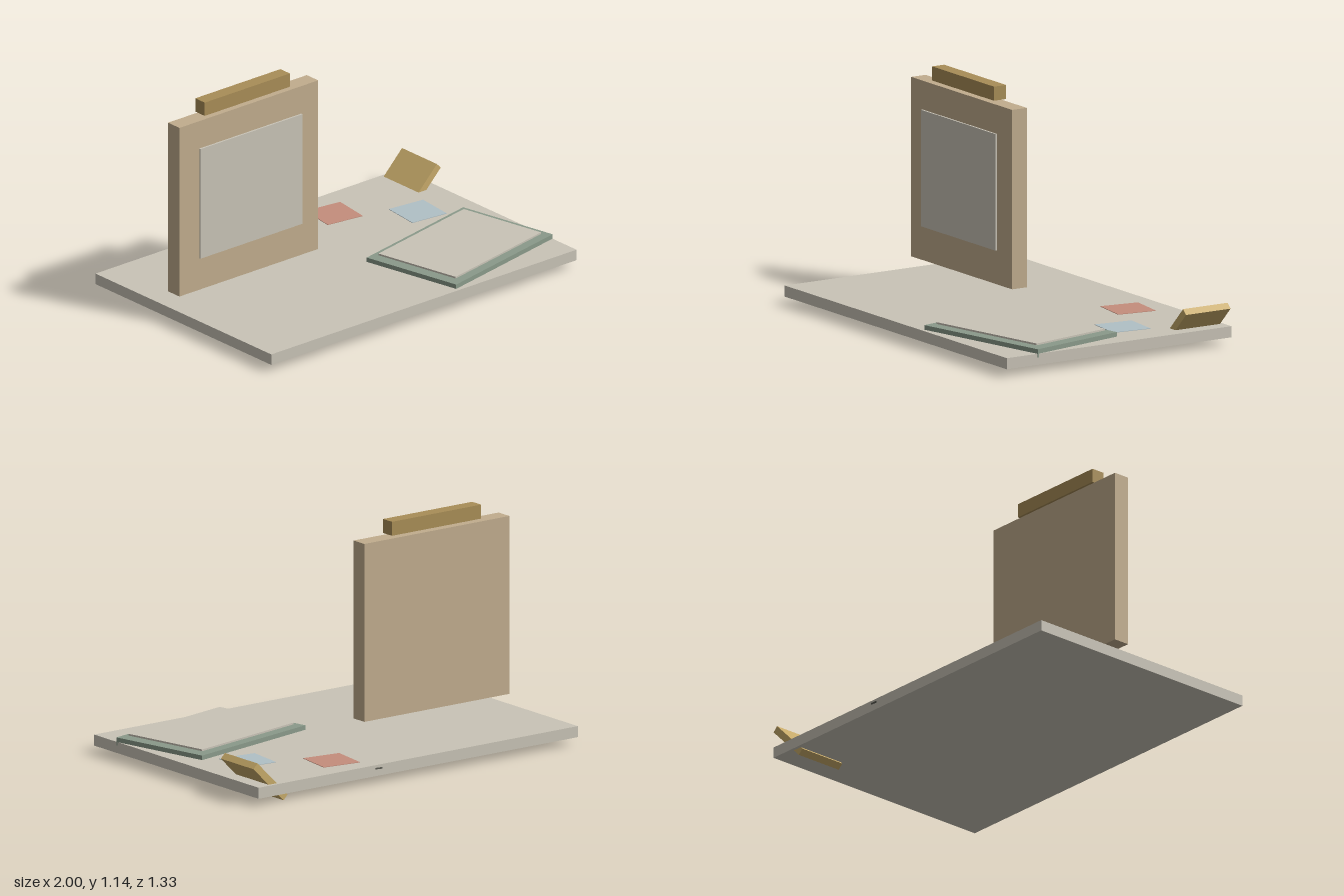
import * as THREE from 'three';

function material(name, color) {
  const m = new THREE.MeshStandardMaterial({ color });
  m.name = name;
  return m;
}

export function createModel() {
  const group = new THREE.Group();
  group.name = 'deskDisplay';

  const stone = material('pale stone', 0xc9c4b7);
  const wood = material('light wood', 0xc1ad8e);
  const brass = material('dark brass', 0xa98e57);
  const gold = material('gold', 0xc8ab6a);
  const green = material('sage green', 0x8a9a8a);
  const red = material('clay red', 0xc58e7c);
  const blue = material('pale blue', 0xb0c0c6);
  const dark = material('dark grey', 0x5a5a52);

  // Box from its size and centre, with optional turns about y and z
  function box(name, mat, [w, h, d], [x, y, z], turnY = 0, turnZ = 0) {
    const mesh = new THREE.Mesh(new THREE.BoxGeometry(w, h, d), mat);
    mesh.name = name;
    mesh.position.set(x, y, z);
    mesh.rotation.set(0, turnY, turnZ);
    group.add(mesh);
    return mesh;
  }

  // Base slab
  box('baseSlab', stone, [1.98, 0.056, 1.32], [-0.01, 0.065, 0]);

  // Upright board with its sheet and top clip
  box('board', wood, [0.9, 0.902, 0.086], [-0.52, 0.608, -0.107]);
  box('boardSheet', stone, [0.66, 0.586, 0.01], [-0.52, 0.625, -0.049]);
  box('boardClip', brass, [0.552, 0.071, 0.071], [-0.522, 1.107, -0.109]);

  // Turned tray, sunk a little into the slab, with a raised sheet
  const trayTurn = 0.208;
  box('tray', green, [0.782, 0.041, 0.552], [0.542, 0.0955, 0.29], trayTurn);
  box('traySheet', stone, [0.692, 0.009, 0.476], [0.542, 0.1275, 0.29], trayTurn);

  // Flat notes on the slab
  box('redNote', red, [0.204, 0.006, 0.204], [0.37, 0.0925, -0.455], -0.14);
  box('blueNote', blue, [0.204, 0.006, 0.204], [0.698, 0.0925, -0.206], -0.11);

  // Slanted plate through the slab's corner
  box('slantedPlate', gold, [0.264, 0.036, 0.262], [0.893, 0.106, -0.512], 0, Math.PI / 4);

  // Small tab at the back edge
  box('backTab', dark, [0.04, 0.007, 0.012], [0.235, 0.075, -0.659], 0, 0.05);

  return group;
}
